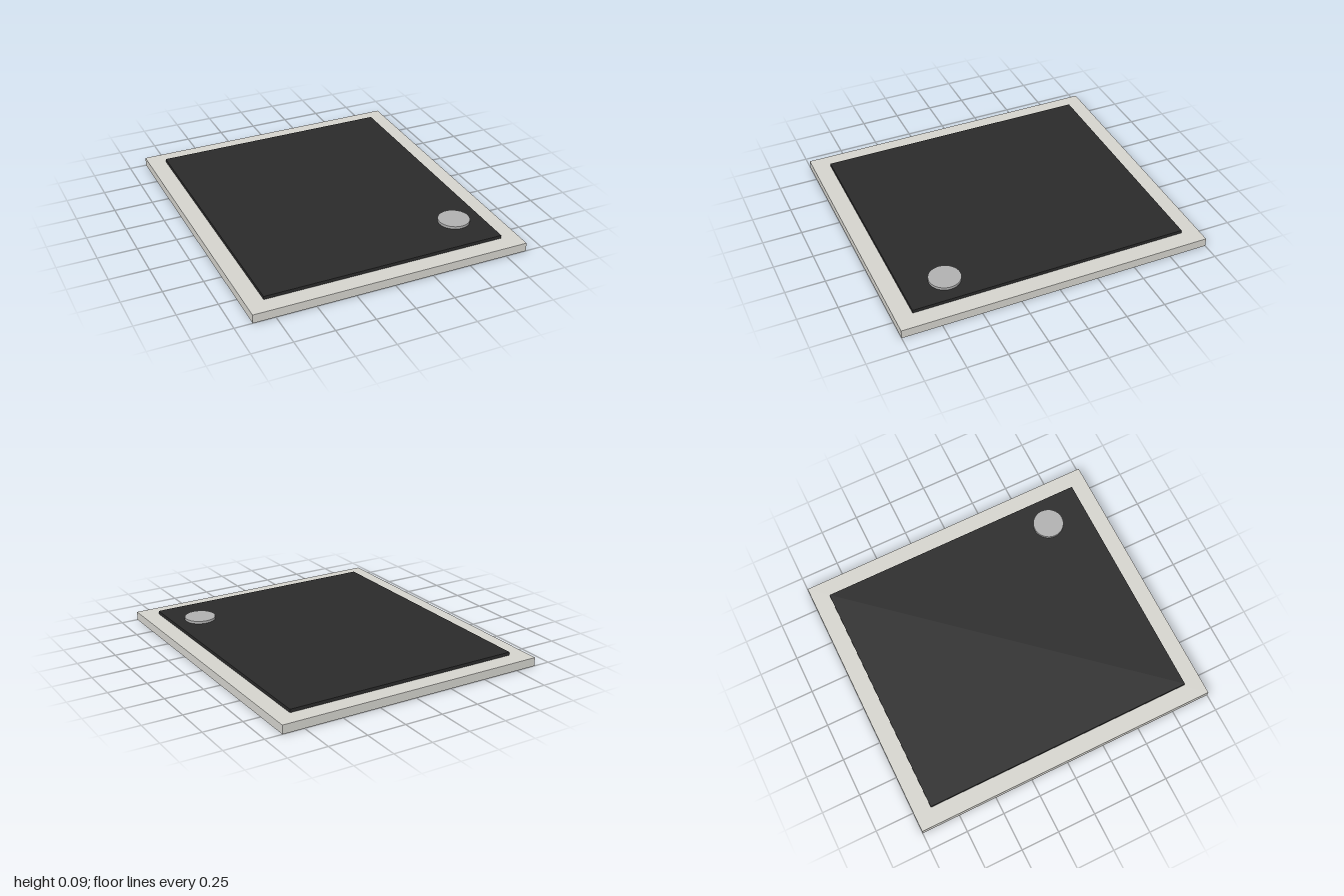
import * as THREE from 'three';

export function createModel() {
  const group = new THREE.Group();

  const add = (name, geometry, color, x, y, z) => {
    const mesh = new THREE.Mesh(geometry, new THREE.MeshStandardMaterial({ color }));
    mesh.name = name;
    mesh.position.set(x, y, z);
    group.add(mesh);
  };

  const baseTop = 0.056, panelTop = 0.077, discTop = 0.094;

  // Pale slab that forms the visible border
  add('base', new THREE.BoxGeometry(1.778, baseTop, 2), 0xd4d3cd, 0, baseTop / 2, 0);

  // Dark raised panel
  add('panel', new THREE.BoxGeometry(1.556, panelTop - baseTop, 1.778), 0x2a2a2a,
    0, (baseTop + panelTop) / 2, 0);

  // Flat round button near the front left corner
  add('button', new THREE.CylinderGeometry(0.1, 0.1, discTop - panelTop, 32), 0xb0b0b0,
    0.6, (panelTop + discTop) / 2, 0.62);

  return group;
}
